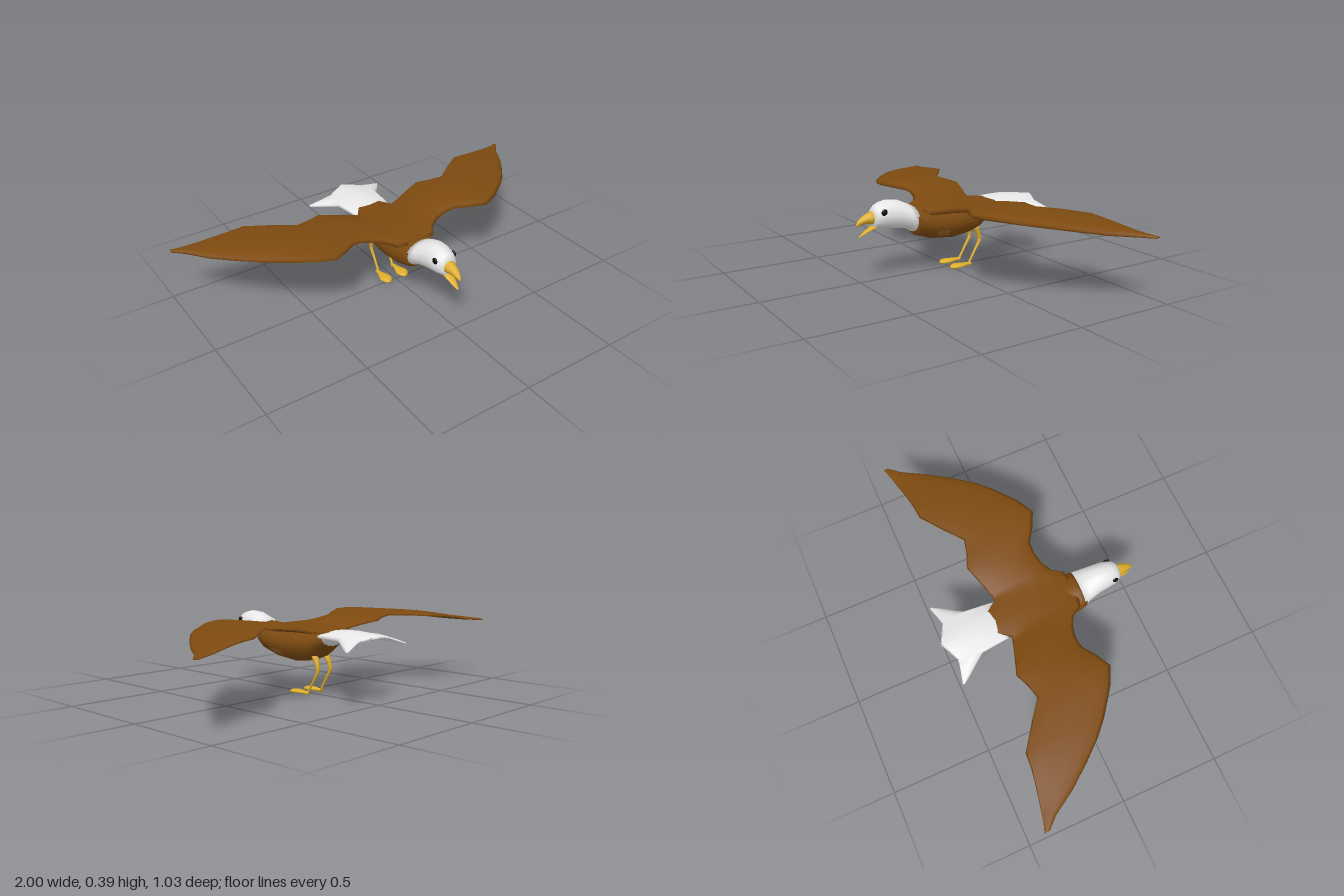
import * as THREE from 'three';

const mat = (name, color) => {
  const m = new THREE.MeshStandardMaterial({ color });
  m.name = name;
  return m;
};

// Skin a list of closed rings; pick(i, j) chooses a material index per quad
function loft(rings, pick = () => 0) {
  const n = rings[0].length, last = rings.length - 1, pos = [], idx = [];
  const g = new THREE.BufferGeometry();
  const centre = r => [0, 1, 2].map(k => r.reduce((s, p) => s + p[k], 0) / n);
  rings.forEach(r => r.forEach(p => pos.push(...p)));
  pos.push(...centre(rings[0]), ...centre(rings[last]));
  const c0 = rings.length * n, c1 = c0 + 1;
  for (let i = 0; i < last; i++) for (let j = 0; j < n; j++) {
    const k = (j + 1) % n, a = i * n + j, b = i * n + k;
    g.addGroup(idx.length, 6, pick(i, j));
    idx.push(a, b, b + n, a, b + n, a + n);
  }
  g.addGroup(idx.length, n * 6, 0);
  for (let j = 0; j < n; j++) {
    const k = (j + 1) % n;
    idx.push(c0, k, j, c1, last * n + j, last * n + k);
  }
  g.setAttribute('position', new THREE.Float32BufferAttribute(pos, 3));
  g.setIndex(idx);
  g.computeVertexNormals();
  return g;
}

// Oval sections along z: [z, bottom, top, half width]
const ovals = (list, pick, n = 16) => loft(list.map(([z, lo, hi, w]) =>
  Array.from({ length: n }, (_, j) => {
    const a = j / n * Math.PI * 2;
    return [w * Math.cos(a), (lo + hi) / 2 + (hi - lo) / 2 * Math.sin(a), z];
  })), pick);

// Round limb going up: [x, y, z, radius]
const limb = (list, n = 8) => loft(list.map(([x, y, z, r]) =>
  Array.from({ length: n }, (_, j) => {
    const a = j / n * Math.PI * 2;
    return [x + r * Math.sin(a), y, z + r * Math.cos(a)];
  })));

// Feathered surface across x, mirrored from one half:
// [x, leading z, trailing z, top y, thickness]
function feathered(half, pick) {
  const mirrored = half.slice(1).reverse().map(([x, ...rest]) => [-x, ...rest]);
  // chord fraction from the leading edge, depth below the top
  const outline = [[0.45, 0], [0.2, 0.08], [0.05, 0.35], [0, 0.65], [0.06, 1],
    [0.25, 1], [0.6, 0.85], [1, 0.8], [0.98, 0.6], [0.75, 0.2]];
  return loft([...mirrored, ...half].map(([x, lead, trail, y, t]) =>
    outline.map(([c, d]) => [x, y - d * t, lead + (trail - lead) * c])), pick);
}

export function createModel() {
  const brown = mat('brown feathers', 0x7d4a10);
  const tan = mat('light brown feathers', 0x946024);
  const white = mat('white feathers', 0xe8e8e8);
  const yellow = mat('yellow', 0xdfae2c);
  const black = mat('black', 0x0c0c0c);

  const model = new THREE.Group();
  const add = (name, geometry, material, parent = model) => {
    const m = new THREE.Mesh(geometry, material);
    m.name = name;
    parent.add(m);
    return m;
  };

  // Body, with a paler patch low on each side
  add('body', ovals([
    [-0.22, 0.255, 0.325, 0.085], [-0.19, 0.228, 0.33, 0.09], [-0.15, 0.19, 0.335, 0.095],
    [-0.1, 0.17, 0.335, 0.1], [0, 0.155, 0.335, 0.103], [0.05, 0.161, 0.335, 0.104],
    [0.12, 0.168, 0.337, 0.104], [0.2, 0.193, 0.341, 0.098], [0.225, 0.212, 0.347, 0.092],
  ], (i, j) => (i === 5 && (j === 9 || j === 14) ? 1 : 0)), [brown, tan]);

  // Neck and head
  add('head', ovals([
    [0.215, 0.21, 0.345, 0.093], [0.25, 0.234, 0.361, 0.083], [0.3, 0.243, 0.383, 0.072],
    [0.35, 0.25, 0.388, 0.066], [0.39, 0.254, 0.38, 0.06], [0.415, 0.258, 0.368, 0.05],
    [0.43, 0.268, 0.35, 0.036],
  ]), white);

  // Open beak
  add('upperBeak', ovals([
    [0.4, 0.27, 0.348, 0.034], [0.43, 0.278, 0.342, 0.032], [0.455, 0.284, 0.334, 0.025],
    [0.48, 0.284, 0.322, 0.018], [0.503, 0.278, 0.304, 0.011], [0.513, 0.276, 0.287, 0.004],
  ], undefined, 10), yellow);
  add('lowerBeak', ovals([
    [0.4, 0.262, 0.288, 0.03], [0.44, 0.25, 0.264, 0.022],
    [0.47, 0.236, 0.247, 0.015], [0.5, 0.22, 0.226, 0.004],
  ], undefined, 10), yellow);

  // Wings joined across the back
  add('wings', feathered([
    [0, 0.19, -0.25, 0.345, 0.03], [0.06, 0.19, -0.25, 0.343, 0.03],
    [0.1, 0.18, -0.19, 0.346, 0.04], [0.13, 0.13, -0.195, 0.352, 0.04],
    [0.18, 0.1, -0.21, 0.362, 0.038], [0.24, 0.085, -0.23, 0.372, 0.036],
    [0.3, 0.09, -0.25, 0.38, 0.035], [0.36, 0.13, -0.225, 0.387, 0.034],
    [0.44, 0.17, -0.205, 0.393, 0.034], [0.53, 0.125, -0.275, 0.39, 0.032],
    [0.65, 0.035, -0.36, 0.381, 0.03], [0.72, -0.03, -0.365, 0.374, 0.028],
    [0.8, -0.125, -0.378, 0.361, 0.025], [0.88, -0.23, -0.395, 0.345, 0.021],
    [0.95, -0.345, -0.41, 0.333, 0.016], [1, -0.4, -0.425, 0.325, 0.01],
  ], (i, j) => {
    const fromCentre = i < 15 ? 14 - i : i - 15;
    return j === 4 && fromCentre > 1 && fromCentre < 6 ? 1 : 0;
  }), [brown, tan]);

  // White rump and fanned tail with drooping corners
  add('rump', ovals([
    [-0.36, 0.304, 0.322, 0.07], [-0.3, 0.295, 0.324, 0.08],
    [-0.25, 0.277, 0.325, 0.085], [-0.21, 0.247, 0.325, 0.085],
  ]), white);
  add('tail', feathered([
    [0, -0.2, -0.515, 0.336, 0.026], [0.05, -0.2, -0.49, 0.331, 0.025],
    [0.1, -0.2, -0.467, 0.32, 0.024], [0.115, -0.345, -0.469, 0.316, 0.022],
    [0.15, -0.395, -0.477, 0.302, 0.02], [0.185, -0.44, -0.486, 0.288, 0.016],
    [0.212, -0.48, -0.492, 0.274, 0.01],
  ]), white);

  // Eyes, legs and feet on both sides
  for (const [side, s] of [['left', 1], ['right', -1]]) {
    const eye = add(side + 'Eye', new THREE.SphereGeometry(0.016, 14, 10), black);
    eye.scale.x = 0.5;
    eye.position.set(s * 0.054, 0.34, 0.39);

    const leg = new THREE.Group();
    leg.name = side + 'Leg';
    model.add(leg);
    const x = s * 0.045;
    add('shank', limb([
      [x, 0.008, -0.092, 0.009], [x, 0.03, -0.103, 0.006], [x, 0.08, -0.132, 0.007],
      [x, 0.12, -0.157, 0.009], [x, 0.14, -0.157, 0.01], [x * 0.95, 0.165, -0.148, 0.013],
      [x * 0.9, 0.185, -0.138, 0.017], [x * 0.9, 0.21, -0.125, 0.018],
    ]), yellow, leg);
    const foot = add('foot', ovals([
      [-0.1, 0.002, 0.018, 0.009], [-0.07, 0.002, 0.02, 0.013], [-0.04, 0.002, 0.021, 0.026],
      [-0.015, 0.001, 0.022, 0.032], [0.005, 0, 0.02, 0.025], [0.02, 0.003, 0.014, 0.01],
    ], undefined, 10), yellow, leg);
    foot.position.x = s * 0.05;
  }
  return model;
}
